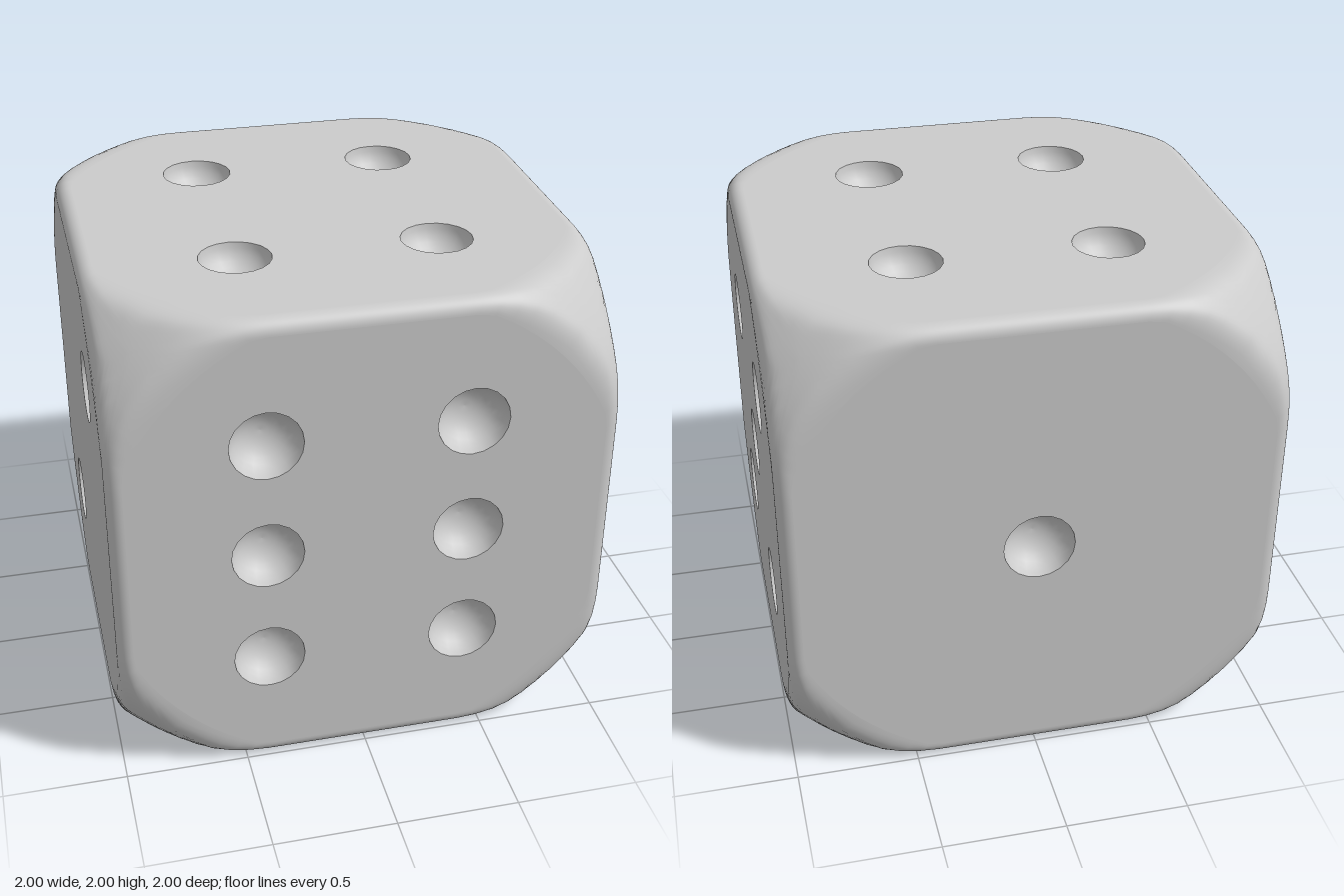
import * as THREE from 'three';
import { mergeGeometries, mergeVertices } from 'three/addons/utils/BufferGeometryUtils.js';

const EDGE = 0.06;      // edge rounding radius
const BALL = 1.5;       // sphere that trims the corners
const SOFT = 0.06;      // softness of the trimmed corner's rim
const PIP_R = 0.143, PIP_DEPTH = 0.125, PIP_SIDES = 20;
const SEGMENTS = 96, RINGS = 10;

// Pip centres in each face's own plane, and the turn that puts the face in place
const FACES = [
  { name: 'front', turn: [0, 0, 0], pips: [-0.49, 0, 0.49].flatMap(y => [[-0.4, y], [0.4, y]]) },
  { name: 'right', turn: [0, Math.PI / 2, 0], pips: [[-0.41, 0.45], [0.39, 0.45], [-0.01, 0], [-0.41, -0.45], [0.39, -0.45]] },
  { name: 'back', turn: [0, Math.PI, 0], pips: [[0, 0]] },
  { name: 'left', turn: [0, -Math.PI / 2, 0], pips: [[0.4, 0.49], [-0.4, -0.49]] },
  { name: 'top', turn: [-Math.PI / 2, 0, 0], pips: [[-0.4, 0.44], [0.4, 0.44], [-0.4, -0.44], [0.4, -0.44]] },
  { name: 'bottom', turn: [Math.PI / 2, 0, 0], pips: [[-0.4, -0.445], [0, 0], [0.4, 0.445]] },
];

// Moves a point of the plain cube onto the rounded, corner-trimmed body
function roundOff(p) {
  const h = 1 - EDGE;
  const inner = p.clone().clampScalar(-h, h);
  p.sub(inner).setLength(EDGE).add(inner);
  const len = p.length();
  const blend = Math.max(SOFT - Math.abs(len - BALL), 0) / SOFT;
  return p.setLength(Math.min(len, BALL) - blend * blend * SOFT / 4);
}

// Flat area's outline: a square with its corners cut by a circle
const rimRadius = Math.sqrt((BALL - SOFT) ** 2 - 1);
function outlinePoint(i) {
  const a = (i % SEGMENTS) / SEGMENTS * Math.PI * 2;
  const dir = new THREE.Vector2(Math.cos(a), Math.sin(a));
  const m = Math.max(Math.abs(dir.x), Math.abs(dir.y));
  return {
    flat: dir.clone().multiplyScalar(Math.min((1 - EDGE) / m, rimRadius)),
    cube: dir.clone().divideScalar(m),
  };
}

// Rounded border between one flat area and the neighbouring faces
function borderGeometry() {
  const pos = [], index = [];
  for (let i = 0; i <= SEGMENTS; i++) {
    const { flat, cube } = outlinePoint(i);
    for (let j = 0; j <= RINGS; j++) {
      const q = flat.clone().lerp(cube, j / RINGS);
      pos.push(...roundOff(new THREE.Vector3(q.x, q.y, 1)).toArray());
      if (i < SEGMENTS && j < RINGS) {
        const a = i * (RINGS + 1) + j, b = a + RINGS + 1;
        index.push(a, a + 1, b + 1, a, b + 1, b);
      }
    }
  }
  const g = new THREE.BufferGeometry();
  g.setAttribute('position', new THREE.Float32BufferAttribute(pos, 3));
  g.setIndex(index);
  return g;
}

// Flat area with a hole for each pip
function panelGeometry(pips) {
  const shape = new THREE.Shape(Array.from({ length: SEGMENTS }, (_, i) => outlinePoint(i).flat));
  for (const [x, y] of pips) {
    shape.holes.push(new THREE.Path(Array.from({ length: PIP_SIDES }, (_, i) => {
      const a = -i / PIP_SIDES * Math.PI * 2;
      return new THREE.Vector2(x + PIP_R * Math.cos(a), y + PIP_R * Math.sin(a));
    })));
  }
  return new THREE.ShapeGeometry(shape).translate(0, 0, 1);
}

// Hollow bowl, open towards +z
function pipGeometry() {
  const profile = Array.from({ length: 9 }, (_, i) => {
    const a = i / 8 * Math.PI / 2;
    return new THREE.Vector2(i === 8 ? 0 : PIP_R * Math.cos(a), -PIP_DEPTH * Math.sin(a));
  });
  return new THREE.LatheGeometry(profile, PIP_SIDES).rotateX(Math.PI / 2);
}

export function createModel() {
  const model = new THREE.Group();
  model.name = 'die';
  const material = new THREE.MeshStandardMaterial({ color: 0xcccccc, roughness: 0.6 });
  const bowl = pipGeometry();
  const borders = [];

  for (const { name, turn, pips } of FACES) {
    const face = new THREE.Group();
    face.name = name + 'Face';
    face.position.y = 1;
    face.rotation.set(...turn);

    const panel = new THREE.Mesh(panelGeometry(pips), material);
    panel.name = name + 'Panel';
    face.add(panel);

    pips.forEach(([x, y], i) => {
      const pip = new THREE.Mesh(bowl, material);
      pip.name = `${name}Pip${i + 1}`;
      pip.position.set(x, y, 1);
      face.add(pip);
    });

    face.updateMatrix();
    borders.push(borderGeometry().applyMatrix4(face.matrix));
    model.add(face);
  }

  // Rounded edges and corners, welded so the shading runs smoothly across faces
  const rounded = mergeVertices(mergeGeometries(borders), 1e-4);
  rounded.computeVertexNormals();
  const edges = new THREE.Mesh(rounded, material);
  edges.name = 'roundedEdges';
  model.add(edges);
  return model;
}
